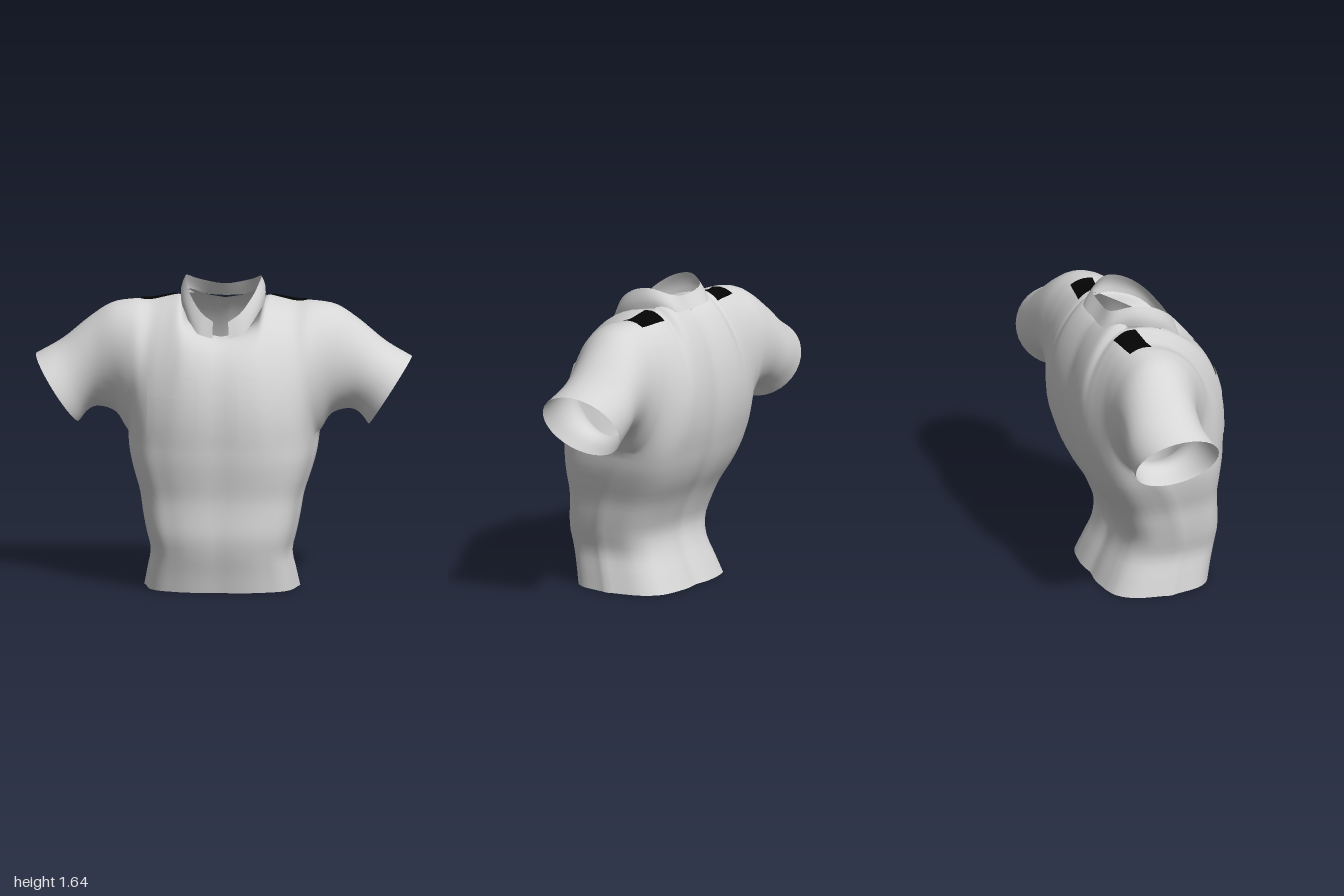
import * as THREE from 'three';
import { mergeVertices } from 'three/addons/utils/BufferGeometryUtils.js';

const cloth = new THREE.MeshStandardMaterial({ color: 0xd6d6d6, side: THREE.DoubleSide });
cloth.name = 'light grey cloth';
const black = new THREE.MeshStandardMaterial({ color: 0x040404, side: THREE.DoubleSide });
black.name = 'black cloth';

// Columns from the centre line out to the cuff. Each is an arc running from the
// chest line (or underarm) to the shoulder ridge (or neckline):
// [bottom x, bottom y, top x, top y, ridge z, deepest z, start angle]
const sleeve = [
  [0.57, 0.9, 0.6, 1.485, -0.125],
  [0.66, 0.93, 0.72, 1.405, -0.13],
  [0.72, 0.91, 0.86, 1.29, -0.13],
  [0.77, 0.85, 1.0, 1.21, -0.12],
];
const FRONT = [
  [0, 0.8, 0, 1.35, 0.15, 0.413, -12],
  [0.12, 0.8, 0.1, 1.37, 0.13, 0.418, -12],
  [0.23, 0.8, 0.185, 1.425, 0.05, 0.4, -12],
  [0.32, 0.8, 0.225, 1.53, -0.14, 0.36, -12],
  [0.4, 0.8, 0.3, 1.52, -0.16, 0.31, -16],
  [0.465, 0.8, 0.385, 1.505, -0.16, 0.24, -36],
  [0.51, 0.81, 0.48, 1.508, -0.125, 0.18, -90],
  ...sleeve.map((r, i) => [...r, [0.115, 0.07, 0.07, 0.115][i], -90]),
];
const BACK = [
  [0, 0.8, 0, 1.5, -0.24, -0.405, -30],
  [0.12, 0.8, 0.1, 1.52, -0.225, -0.417, -30],
  [0.23, 0.8, 0.185, 1.555, -0.18, -0.417, -30],
  [0.32, 0.8, 0.225, 1.53, -0.14, -0.408, -30],
  [0.4, 0.8, 0.3, 1.52, -0.16, -0.385, -36],
  [0.465, 0.8, 0.385, 1.505, -0.16, -0.362, -55],
  [0.51, 0.81, 0.48, 1.508, -0.125, -0.35, -90],
  ...sleeve.map((r, i) => [...r, [-0.345, -0.35, -0.36, -0.35][i], -90]),
];
// Waist rings from hem to chest: [half width, front z, back z, side z]
const WAIST = [
  [0.415, 0.33, -0.28, 0.03],
  [0.395, 0.35, -0.235, 0.06],
  [0.377, 0.375, -0.19, 0.09],
  [0.4, 0.39, -0.17, 0.09],
  [0.42, 0.385, -0.2, 0.07],
  [0.437, 0.382, -0.245, 0.04],
  [0.47, 0.395, -0.305, 0],
  [0.498, 0.408, -0.35, -0.06],
  [0.51, 0.413, -0.38, -0.125],
];

// Smooth interpolation through the rows of a table
function spline(rows, t) {
  const i = Math.min(Math.floor(t), rows.length - 2), f = t - i;
  const b = rows[i], c = rows[i + 1];
  const a = rows[i - 1] ?? b.map((v, k) => 2 * v - c[k]);
  const d = rows[i + 2] ?? c.map((v, k) => 2 * v - b[k]);
  return b.map((v, k) => v + 0.5 * f * (c[k] - a[k] + f * (2 * a[k] - 5 * v + 4 * c[k] - d[k]
    + f * (3 * (v - c[k]) + d[k] - a[k]))));
}

// Point on the arc of column t, v = 0 at the bottom and 1 at the ridge
function arcPoint(half, t, v) {
  const r = spline(half > 0 ? FRONT : BACK, t);
  if (t >= 3) { // front and back meet along the shoulder ridge
    const o = spline(half > 0 ? BACK : FRONT, t);
    for (const k of [3, 4]) r[k] = (r[k] + o[k]) / 2;
  }
  const [xb, yb, xt, yt, zc, ze, deg] = r;
  const a0 = THREE.MathUtils.degToRad(Math.min(0, t >= 6 ? -90 : Math.max(-90, deg)));
  const a = a0 + (Math.PI / 2 - a0) * v;
  const f = (Math.sin(a) - Math.sin(a0)) / (1 - Math.sin(a0));
  // full chest and sloping upper back, easing to a plain ellipse at the armhole
  const power = 1 + (half > 0 ? -0.2 : 0.5) * Math.max(0, 1 - t / 6);
  const bulge = Math.max(0, Math.cos(a)) ** power;
  return [xb + (xt - xb) * f, yb + (yt - yb) * f, zc + (ze - zc) * bulge];
}

// Point below the chest line, h = 0 at the hem and 1 at the chest
function waistPoint(half, t, h) {
  const [x, y, z] = arcPoint(half, t, 0);
  const w = spline(WAIST, h * 8), top = WAIST[8], k = half > 0 ? 1 : 2;
  return [x * w[0] / top[0], y * h, w[3] + (z - top[3]) * (w[k] - w[3]) / (top[k] - top[3])];
}

// Triangles of a grid of points
function addGrid(pos, nu, nv, fn, flip = false) {
  for (let i = 0; i < nu; i++) for (let j = 0; j < nv; j++) {
    const a = fn(i / nu, j / nv), b = fn((i + 1) / nu, j / nv);
    const c = fn((i + 1) / nu, (j + 1) / nv), d = fn(i / nu, (j + 1) / nv);
    pos.push(...(flip ? [a, c, b, a, d, c] : [a, b, c, a, c, d]).flat());
  }
}

function meshFrom(name, pos, material) {
  let g = new THREE.BufferGeometry();
  g.setAttribute('position', new THREE.Float32BufferAttribute(pos, 3));
  g = mergeVertices(g, 1e-4);
  g.computeVertexNormals();
  const m = new THREE.Mesh(g, material);
  m.name = name;
  return m;
}

export function createModel() {
  const group = new THREE.Group();
  group.name = 'shirt';

  // Body and sleeves as one welded cloth
  const pos = [];
  for (const side of [1, -1]) for (const half of [1, -1]) {
    const mirror = ([x, y, z]) => [x * side, y, z];
    addGrid(pos, 40, 16, (u, v) => mirror(arcPoint(half, u * 10, v)), side * half < 0);
    addGrid(pos, 24, 20, (u, v) => mirror(waistPoint(half, u * 6, v)), side * half < 0);
  }
  const body = meshFrom('bodyAndSleeves', pos, cloth);
  group.add(body);

  // Standing collar between a lower and an upper edge
  const edge = (pts) => new THREE.CatmullRomCurve3(
    [...pts.map(([x, y, z]) => [-x, y, z]), ...pts.slice(0, -1).reverse()]
      .map((p) => new THREE.Vector3(...p)));
  const lower = edge([[0.04, 1.3, 0.22], [0.12, 1.365, 0.19], [0.195, 1.47, 0.085],
    [0.222, 1.515, -0.03], [0.21, 1.535, -0.13], [0.155, 1.52, -0.25], [0, 1.51, -0.255]]);
  const upper = edge([[0.04, 1.435, 0.185], [0.1, 1.475, 0.16], [0.165, 1.56, 0.085],
    [0.195, 1.62, -0.01], [0.2, 1.64, -0.11], [0.14, 1.605, -0.205], [0, 1.58, -0.21]]);
  const band = [];
  addGrid(band, 48, 4, (u, v) => // slightly rolled outwards
    lower.getPoint(u).lerp(upper.getPoint(u), v)
      .multiply(new THREE.Vector3(1 + 0.06 * Math.sin(Math.PI * v), 1, 1)).toArray(), true);
  group.add(meshFrom('collar', band, cloth));

  // Thin plates laid on the cloth
  const ray = new THREE.Raycaster();
  function drop(origin, dir, lift) {
    ray.set(new THREE.Vector3(...origin), new THREE.Vector3(...dir));
    const { point } = ray.intersectObject(body)[0];
    return point.addScaledVector(ray.ray.direction, -lift).toArray();
  }
  function frontPlate(name, x0, x1, y0, y1, nu, nv, lift) {
    const p = [];
    addGrid(p, nu, nv, (u, v) =>
      drop([x0 + (x1 - x0) * u, y0 + (y1 - y0) * v, 2], [0, 0, -1], lift));
    group.add(meshFrom(name, p, cloth));
  }
  frontPlate('buttonPlacket', -0.04, 0.04, 0.04, 1.335, 2, 40, 0.006);
  for (const [label, s] of [['left', 1], ['right', -1]]) {
    const [x0, x1] = s > 0 ? [0.11, 0.385] : [-0.385, -0.11];
    frontPlate(label + 'Pocket', x0, x1, 0.845, 1.06, 10, 8, 0.005);
    frontPlate(label + 'PocketFlap', x0, x1, 1.05, 1.165, 10, 5, 0.009);

    // Shoulder straps, slightly angled
    const strap = [];
    addGrid(strap, 8, 8, (u, v) => {
      const k = s > 0 ? u : 1 - u;
      return drop([s * (0.26 + 0.18 * k), 3, -0.115 + 0.025 * k - 0.125 * v], [0, -1, 0], 0.009);
    });
    group.add(meshFrom(label + 'ShoulderStrap', strap, black));
  }
  return group;
}
